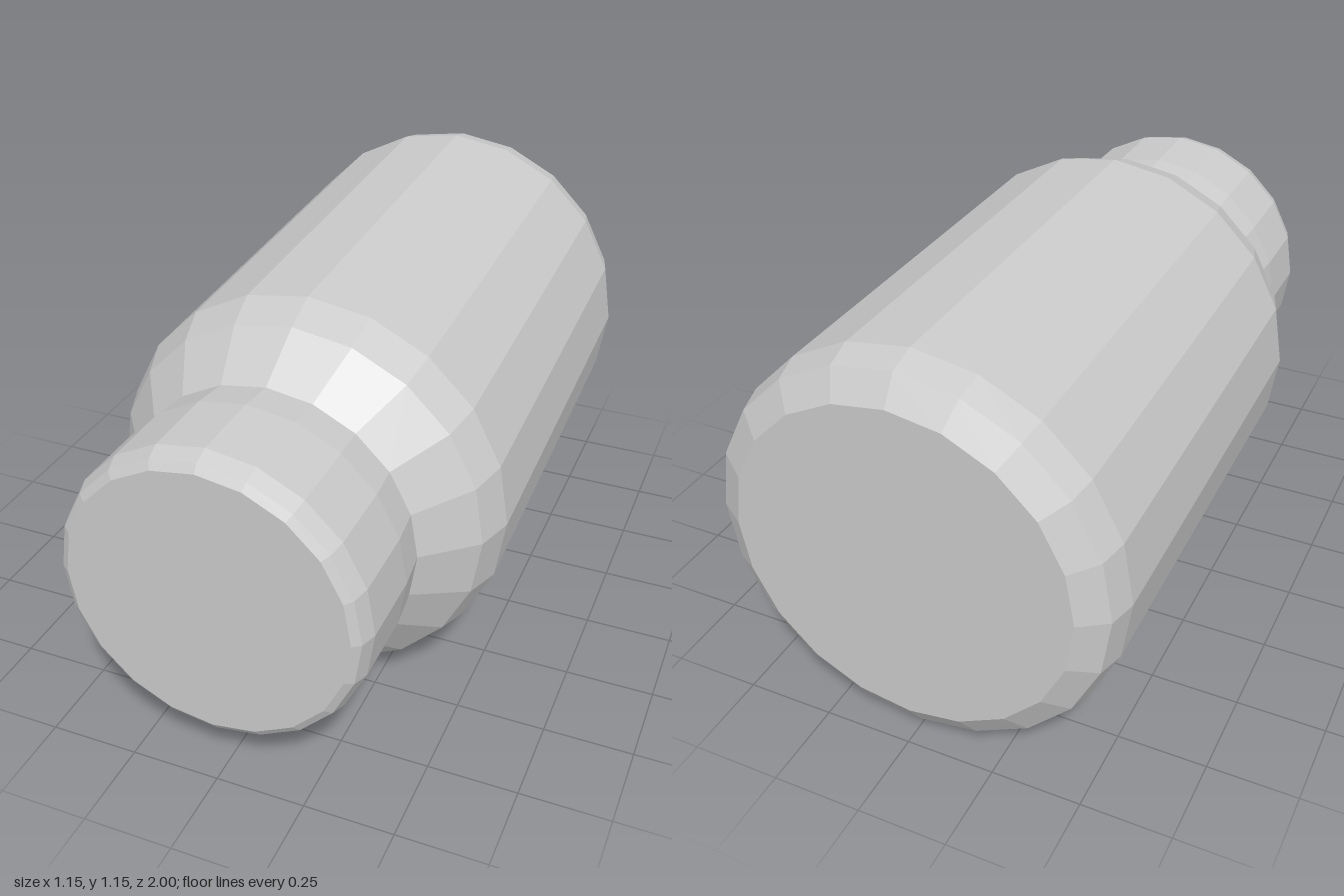
import * as THREE from 'three';

const SIDES = 20;
const AXIS_Y = 0.578;

// Turn a [radius, z] profile around the z axis, with flat facets
function turned(name, profile) {
  const points = profile.map(([r, z]) => new THREE.Vector2(r, z));
  const geometry = new THREE.LatheGeometry(points, SIDES);
  geometry.rotateX(Math.PI / 2);
  geometry.translate(0, AXIS_Y, 0);
  const material = new THREE.MeshStandardMaterial({ color: 0xcccccc, flatShading: true });
  const mesh = new THREE.Mesh(geometry, material);
  mesh.name = name;
  return mesh;
}

export function createModel() {
  const jar = new THREE.Group();
  jar.name = 'jar';

  // Body: flat base, rounded rim, long wall and sloping shoulder
  const body = turned('body', [
    [0, -1], [0.47, -1], [0.545, -0.95], [0.566, -0.87],
    [0.566, 0.38], [0.53, 0.485], [0.41, 0.62],
  ]);
  // The body leans slightly off the axis; the neck stays centred
  const position = body.geometry.attributes.position;
  for (let i = 0; i < position.count; i++) {
    const z = position.getZ(i);
    if (z > 0.6) continue;
    position.setX(i, position.getX(i) + 0.004 + 0.016 * z);
    position.setY(i, position.getY(i) - 0.005 - 0.018 * z);
  }
  body.geometry.computeVertexNormals();
  jar.add(body);

  // Cap: narrower lid with softened front edge
  jar.add(turned('cap', [
    [0.41, 0.62], [0.422, 0.73], [0.422, 0.94], [0.407, 0.985], [0.385, 1], [0, 1],
  ]));

  return jar;
}
